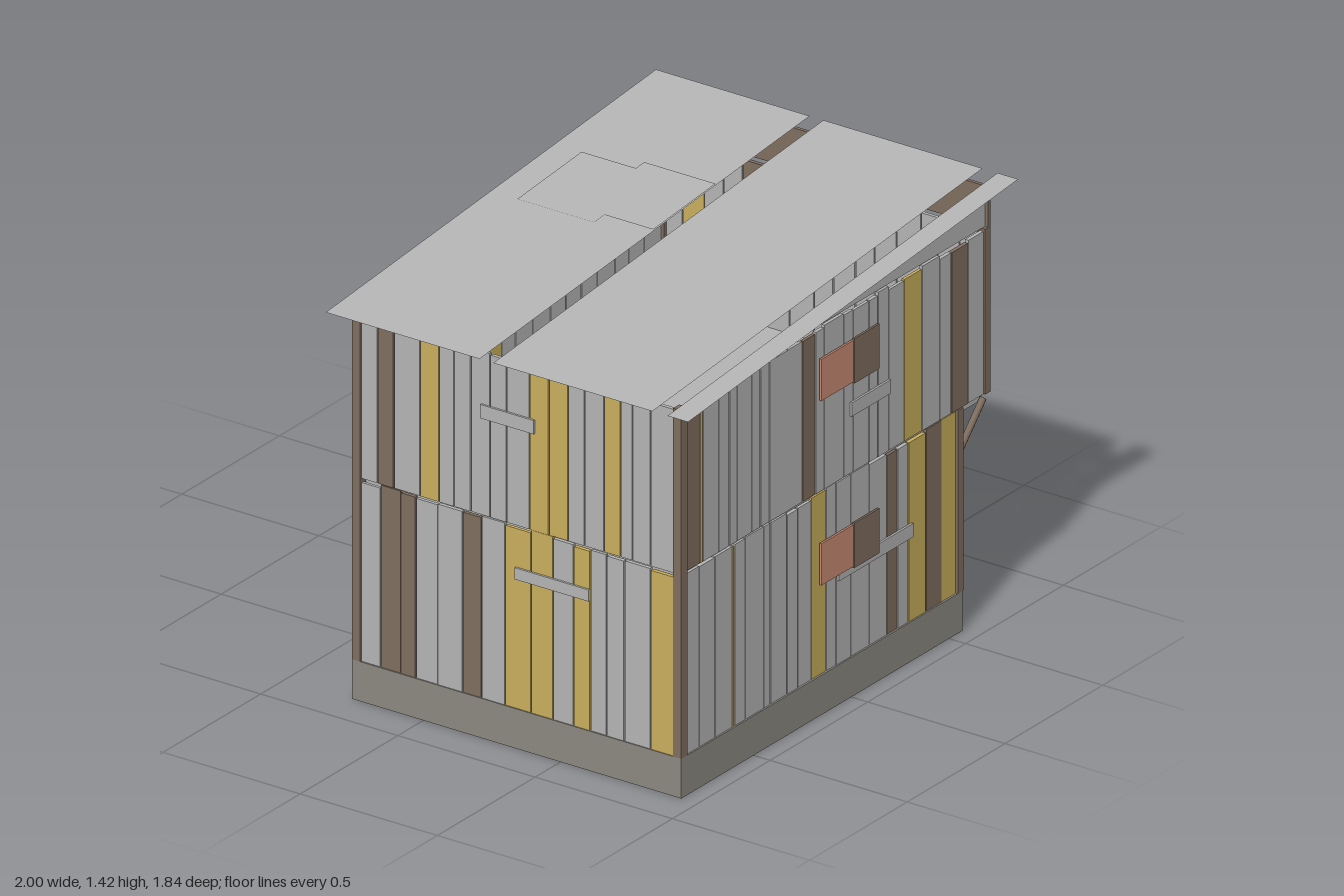
import * as THREE from 'three';

const paint = (name, color, side = THREE.FrontSide) => {
  const m = new THREE.MeshStandardMaterial({ color, side });
  m.name = name;
  return m;
};

export function createModel() {
  const root = new THREE.Group();
  root.name = 'shack';
  const metal = paint('greyMetal', 0xb4b4b4, THREE.DoubleSide);
  const wood = paint('brownWood', 0x806e60);
  const yellow = paint('yellowPaint', 0xc9ae5c);
  const salmon = paint('salmonPaint', 0xc98a72);
  const concrete = paint('concrete', 0x8c8881);
  const red = paint('redCloth', 0xb22222, THREE.DoubleSide);
  const dark = paint('darkCord', 0x2a2a2a);
  const tones = { g: metal, b: wood, y: yellow };

  let seed = 7;
  const rand = () => (seed = (seed * 16807) % 2147483647) / 2147483647;

  const add = (name, geo, mat, parent = root) => {
    const m = new THREE.Mesh(geo, mat);
    m.name = name;
    parent.add(m);
    return m;
  };
  // box given by its lower and upper corners
  const box = (name, mat, [x0, y0, z0], [x1, y1, z1], parent = root) => {
    const m = add(name, new THREE.BoxGeometry(x1 - x0, y1 - y0, z1 - z0), mat, parent);
    m.position.set((x0 + x1) / 2, (y0 + y1) / 2, (z0 + z1) / 2);
    return m;
  };
  // round bar between two points
  const bar = (name, mat, a, b, r, sides = 6) =>
    add(name, new THREE.TubeGeometry(new THREE.LineCurve3(new THREE.Vector3(...a), new THREE.Vector3(...b)), 1, r, sides), mat);

  // row of upright planks between successive edges
  const planks = (wall, name, edges, colours, bottom, top) => {
    [...colours].forEach((c, i) => {
      const depth = 0.005 + rand() * 0.002;
      box(name, tones[c], [edges[i] + 0.002, bottom, -depth], [edges[i + 1] - 0.002, top - rand() * 0.015, depth], wall);
    });
  };
  const wallGroup = (name, x, z, turn) => {
    const g = new THREE.Group();
    g.name = name;
    g.position.set(x, 0, z);
    g.rotation.y = turn;
    root.add(g);
    return g;
  };
  // thin board or plate fixed on the outside of a wall
  const plate = (wall, name, mat, u0, u1, y0, y1, out = 0.014) =>
    box(name, mat, [u0, y0, out - 0.007], [u1, y1, out], wall);

  // foundation and upper floor
  box('foundation', concrete, [-0.26, 0, -0.57], [0.94, 0.13, 0.87]);
  box('upperFloor', metal, [-0.24, 0.7, -0.7], [0.915, 0.73, 0.84]);

  // front wall
  const front = wallGroup('frontWall', 0, 0.86, 0);
  planks(front, 'lowerPlank', [-0.23, -0.16, -0.085, -0.03, 0.05, 0.14, 0.21, 0.295, 0.39, 0.47, 0.545, 0.605, 0.665, 0.73, 0.825, 0.91],
    'gbbggbgyygygggy', 0.13, 0.73);
  planks(front, 'upperPlank', [-0.23, -0.17, -0.11, -0.015, 0.055, 0.11, 0.17, 0.24, 0.3, 0.385, 0.455, 0.525, 0.585, 0.655, 0.715, 0.76, 0.825, 0.91],
    'gbgygggggyyggyggg', 0.73, 1.27);
  plate(front, 'repairBoard', metal, 0.21, 0.405, 1.05, 1.095);
  plate(front, 'repairBoard', metal, 0.335, 0.605, 0.556, 0.594);

  // wall on the +x side
  const sideA = wallGroup('leftWall', 0.928, 0, Math.PI / 2);
  planks(sideA, 'lowerPlank', [-0.84, -0.77, -0.69, -0.6, -0.59, -0.535, -0.44, -0.405, -0.32, -0.265, -0.195, -0.12, -0.07, 0.005, 0.1, 0.19, 0.245, 0.3, 0.39, 0.47, 0.545],
    'gggyggggggyggggbgyby', 0.13, 0.73);
  planks(sideA, 'upperPlank', [-0.84, -0.765, -0.75, -0.67, -0.615, -0.575, -0.5, -0.455, -0.41, -0.315, -0.24, -0.175, -0.13, -0.03, 0.02, 0.1, 0.145, 0.2, 0.28, 0.37, 0.46, 0.52, 0.605, 0.685],
    'byggggggggbgggggggyggbg', 0.73, 1.27);
  plate(sideA, 'repairBoard', metal, 0, 0.2, 0.92, 0.965);
  plate(sideA, 'repairBoard', metal, -0.065, 0.315, 0.405, 0.45);

  // wall on the -x side
  const sideB = wallGroup('rightWall', -0.248, 0, -Math.PI / 2);
  planks(sideB, 'lowerPlank', [-0.545, -0.46, -0.38, -0.3, -0.22, -0.14, -0.05, 0.03, 0.1, 0.2, 0.28, 0.36, 0.45, 0.53, 0.61, 0.7, 0.77, 0.84],
    'gggggggygygbgybbg', 0.13, 0.73);
  planks(sideB, 'upperPlank', [-0.69, -0.6, -0.52, -0.45, -0.36, -0.28, -0.2, -0.12, -0.03, 0.06, 0.13, 0.2, 0.3, 0.38, 0.45, 0.53, 0.6, 0.7, 0.78, 0.84],
    'ggggggggggygggygbgb', 0.73, 1.27);
  plate(sideB, 'repairBoard', metal, -0.49, -0.14, 0.99, 1.035);
  plate(sideB, 'repairBoard', metal, -0.32, -0.12, 0.43, 0.475);

  // side windows, each with a shutter beside it
  for (const [wall, u] of [[sideA, -0.16], [sideB, -0.03]]) {
    for (const y of [1.03, 0.425]) {
      plate(wall, 'window', salmon, u, u + 0.165, y + 0.003, y + 0.14, 0.017);
      plate(wall, 'shutter', wood, u + 0.163, u + 0.29, y, y + 0.147, 0.022);
    }
  }

  // back walls: the upper one overhangs the lower one
  const backLow = wallGroup('lowerBackWall', 0, -0.56, Math.PI);
  planks(backLow, 'lowerPlank', [-0.91, -0.88, -0.83, -0.75, -0.68, -0.6, -0.54, -0.48, -0.42, -0.34, -0.25, -0.18, -0.07, 0, 0.07, 0.15, 0.23],
    'gygggggygggygggg', 0.13, 0.73);
  plate(backLow, 'door', salmon, -0.45, -0.25, 0.13, 0.57);
  plate(backLow, 'doorPatch', metal, -0.46, -0.33, 0.17, 0.5, 0.022);
  plate(backLow, 'doorBar', wood, -0.33, -0.17, 0.4, 0.45, 0.022);
  const backUp = wallGroup('upperBackWall', 0, -0.7, Math.PI);
  planks(backUp, 'upperPlank', [-0.91, -0.84, -0.76, -0.7, -0.61, -0.53, -0.46, -0.38, -0.31, -0.22, -0.14, -0.05, 0.02, 0.09, 0.17, 0.23],
    'ggggggggggbggyg', 0.73, 1.27);
  plate(backUp, 'repairBoard', metal, -0.69, -0.4, 0.93, 0.975);
  box('backFascia', wood, [-0.26, 1.27, -0.712], [0.94, 1.405, -0.7]);

  // corner posts, overhang struts and gable infills on both sides
  const gable = new THREE.Shape([new THREE.Vector2(-0.865, 1.272), new THREE.Vector2(0.7, 1.272), new THREE.Vector2(0.7, 1.41)]);
  for (const [x0, x1, gx] of [[-0.26, -0.23, -0.248], [0.91, 0.94, 0.928]]) {
    box('frontPost', wood, [x0, 0.13, 0.838], [x1, 1.272, 0.87]);
    box('lowerBackPost', wood, [x0, 0.13, -0.574], [x1, 0.73, -0.545]);
    box('upperBackPost', wood, [x0, 0.73, -0.713], [x1, 1.272, -0.685]);
    bar('strut', wood, [(x0 + x1) / 2, 0.58, -0.57], [(x0 + x1) / 2, 0.71, -0.695], 0.012);
    const g = add('gable', new THREE.ShapeGeometry(gable), metal);
    g.position.x = gx;
    g.rotation.y = Math.PI / 2;
  }

  // sloping sheets, flat in their own tilted group
  const slope = (name, y0, z0, y1, z1) => {
    const g = new THREE.Group();
    g.name = name;
    g.position.set(0, (y0 + y1) / 2, (z0 + z1) / 2);
    g.rotation.x = Math.atan2(y1 - y0, z0 - z1);
    root.add(g);
    return g;
  };
  const sheet = (name, parent, x0, x1, z0, z1, lift = 0) => {
    const geo = new THREE.PlaneGeometry(x1 - x0, z1 - z0).rotateX(-Math.PI / 2);
    add(name, geo, metal, parent).position.set((x0 + x1) / 2, lift, (z0 + z1) / 2);
  };
  const roof = slope('roof', 1.27, 0.92, 1.42, -0.77);
  for (const [x0, x1] of [[-0.32, 0.24], [0.29, 0.87], [0.925, 1]]) sheet('roofSheet', roof, x0, x1, -0.848, 0.848);
  sheet('roofPatch', roof, -0.22, 0.06, -0.325, 0.005, 0.003);
  sheet('roofPatch', roof, -0.02, 0.24, -0.365, -0.045, 0.005);

  // canopy over the door on two thin poles
  const canopy = slope('canopy', 0.7, -0.57, 0.565, -0.925);
  sheet('canopySheet', canopy, -0.01, 0.69, -0.19, 0.19);
  for (const x of [0.01, 0.67]) bar('canopyPole', metal, [x, 0.1, -0.915], [x, 0.567, -0.915], 0.008, 8);

  // washing line with two cloths
  const low = [-0.62, 0.545, -0.68];
  bar('washingLine', dark, [-0.25, 0.612, -0.47], low, 0.002, 4);
  bar('washingLine', dark, low, [-1, 0.59, -0.89], 0.002, 4);
  const cloth = (name, mat, x, y, z, w, h) => {
    const m = add(name, new THREE.PlaneGeometry(w, h), mat);
    m.position.set(x, y, z);
    m.rotation.y = -Math.atan(0.56);
  };
  cloth('redCloth', red, -0.625, 0.49, -0.68, 0.125, 0.108);
  cloth('greyCloth', metal, -0.812, 0.477, -0.784, 0.135, 0.155);

  return root;
}
